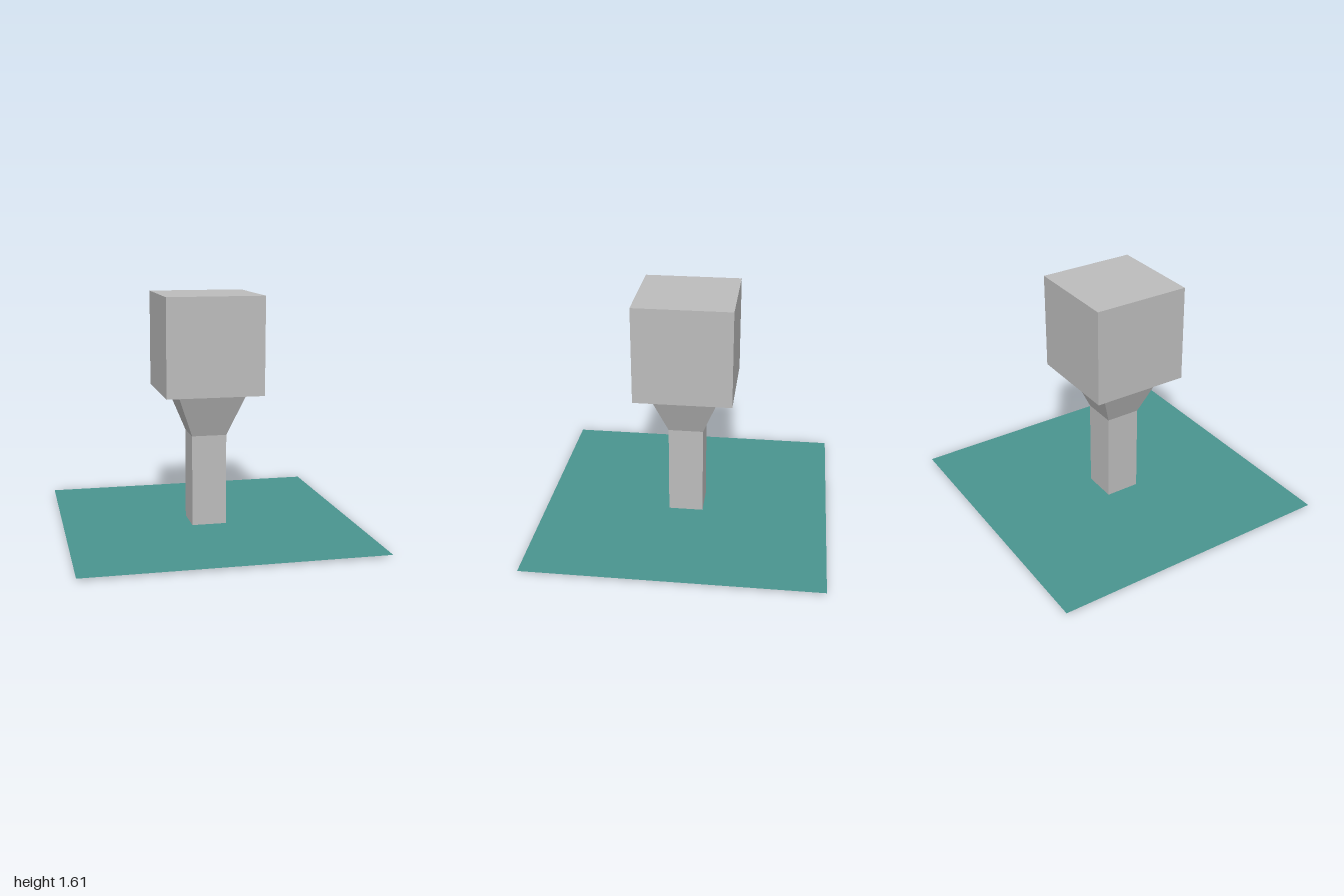
import * as THREE from 'three';

const gray = new THREE.MeshStandardMaterial({ color: 0xbcbcbc });
gray.name = 'light gray';
const teal = new THREE.MeshStandardMaterial({ color: 0x4a948f, side: THREE.DoubleSide });
teal.name = 'teal';

// Square section running from y0 to y1, with its half-width at each end
function squareSection(name, y0, y1, half0, half1) {
  const geometry = new THREE.CylinderGeometry(half1 * Math.SQRT2, half0 * Math.SQRT2, y1 - y0, 4)
    .rotateY(Math.PI / 4)
    .translate(0, (y0 + y1) / 2, 0)
    .toNonIndexed();
  geometry.computeVertexNormals(); // crisp flat faces
  const mesh = new THREE.Mesh(geometry, gray);
  mesh.name = name;
  return mesh;
}

export function createModel() {
  const model = new THREE.Group();
  model.name = 'blockOnPost';

  // Post, flared neck and cube head
  model.add(
    squareSection('post', 0, 0.645, 0.12, 0.12),
    squareSection('flaredNeck', 0.645, 0.945, 0.12, 0.235),
    squareSection('cubeHead', 0.945, 1.612, 0.333, 0.333),
  );

  // Thin ground sheet; the post pokes slightly through it
  const sheet = new THREE.Mesh(new THREE.PlaneGeometry(2, 2).rotateX(-Math.PI / 2), teal);
  sheet.name = 'groundSheet';
  sheet.position.y = 0.013;
  model.add(sheet);

  return model;
}
